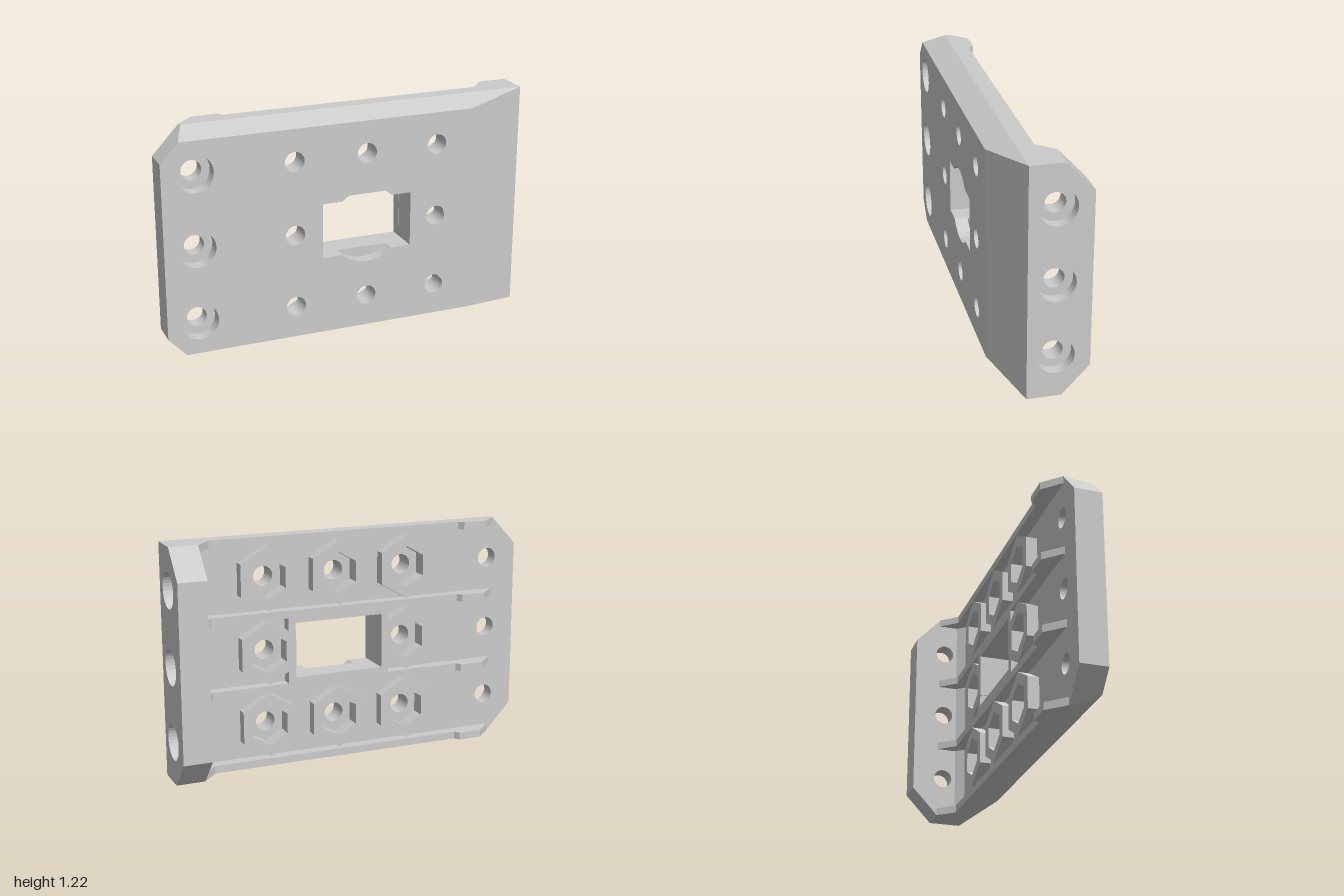
import * as THREE from 'three';

const H = 1.22;                       // overall height
const ROWS = [0.22, 0.61, 1.0];       // hole rows
const COLS = [-0.32, 0.07, 0.46];     // nut columns
const FRONT = 0.215, BEVEL = 0.095, FLOOR = 0.07, RIB_TOP = 0.01, LEDGE = 0.145;
const WIN = { x0: -0.172, x1: 0.315, y0: 0.465, y1: 0.757, cx: 0.0715, cy: 0.611 };

const pts = (list) => list.map(([x, y]) => new THREE.Vector2(x, y));

// Regular polygon; 32 sides for bores, 6 (point up) for nuts
function ngon(x, y, r, n = 32) {
  const out = [];
  for (let i = 0; i < n; i++) {
    const a = Math.PI / 2 + (i / n) * Math.PI * 2;
    out.push(new THREE.Vector2(x + r * Math.cos(a), y + r * Math.sin(a)));
  }
  return out;
}

function extrude(outline, holes, from, to) {
  const shape = new THREE.Shape(outline);
  shape.holes = holes.map((h) => new THREE.Path(h));
  const geo = new THREE.ExtrudeGeometry(shape, { depth: to - from, bevelEnabled: false });
  return geo.translate(0, 0, from);
}

const rect = (x0, y0, x1, y1) => pts([[x0, y0], [x1, y0], [x1, y1], [x0, y1]]);

// Window outline with a round bulge above and below
function bulgedWindow(r) {
  const a = Math.asin((WIN.y1 - WIN.cy) / r);
  const out = [];
  const arc = (start, end) => {
    for (let i = 0; i <= 16; i++) {
      const t = start + ((end - start) * i) / 16;
      out.push(new THREE.Vector2(WIN.cx + r * Math.cos(t), WIN.cy + r * Math.sin(t)));
    }
  };
  out.push(...pts([[WIN.x1, WIN.y0], [WIN.x1, WIN.y1]]));
  arc(a, Math.PI - a);
  out.push(...pts([[WIN.x0, WIN.y1], [WIN.x0, WIN.y0]]));
  arc(Math.PI + a, Math.PI * 2 - a);
  return out;
}

// Slopes the long edges and the flange end inwards towards the front
function bevelFront(geo) {
  const p = geo.attributes.position;
  for (let i = 0; i < p.count; i++) {
    const f = Math.max(0, (p.getZ(i) - BEVEL) / (FRONT - BEVEL));
    const x = p.getX(i), y = p.getY(i);
    if (x > 0.999) p.setX(i, 1 - 0.34 * f);
    else if (y < 0.001 || y > H - 0.001) p.setX(i, x - 0.047 * f);
    if (y < 0.001) p.setY(i, 0.05 * f);
    if (y > H - 0.001) p.setY(i, H - 0.05 * f);
  }
  geo.computeVertexNormals();
  return geo;
}

export function createModel() {
  const group = new THREE.Group();
  const material = new THREE.MeshStandardMaterial({ color: 0xcccccc, flatShading: true });
  const add = (name, geo) => {
    const mesh = new THREE.Mesh(geo, material);
    mesh.name = name;
    group.add(mesh);
  };

  // Main plate in three layers: nut pockets, plain bores, counterbores
  const outline = pts([[-0.86, 0], [1, 0], [1, H], [-0.86, H], [-1, H - 0.15], [-1, 0.15]]);
  const nuts = [];
  for (const x of COLS) for (const y of ROWS) if (x !== 0.07 || y !== 0.61) nuts.push([x, y]);
  const window_ = rect(WIN.x0, WIN.y0, WIN.x1, WIN.y1);
  const bores = nuts.map(([x, y]) => ngon(x, y, 0.052));
  const pockets = nuts.map(([x, y]) => ngon(x, y, 0.108, 6));
  const endHoles = (r) => ROWS.map((y) => ngon(-0.83, y, r));
  add('plateBack', extrude(outline, [window_, ...pockets, ...endHoles(0.052)], FLOOR, BEVEL));
  add('plateMiddle', bevelFront(extrude(outline, [window_, ...bores, ...endHoles(0.052)], BEVEL, LEDGE)));
  add('plateFront', bevelFront(extrude(outline, [bulgedWindow(0.2), ...bores, ...endHoles(0.095)], LEDGE, FRONT)));

  // Hexagonal nut bosses on the back
  for (const [x, y] of nuts) {
    add('nutBoss', extrude(ngon(x, y, 0.17, 6), [ngon(x, y, 0.108, 6)], RIB_TOP, FLOOR));
  }

  // Raised frame around the window
  add('windowFrame', extrude(rect(WIN.x0 - 0.04, 0.43, WIN.x1 + 0.04, 0.79), [window_], RIB_TOP, FLOOR));

  // Lengthwise ribs, profile in x and -z
  const ribProfile = pts([[-0.86, -FLOOR], [0.85, -FLOOR], [0.85, 0.08], [0.77, -RIB_TOP],
    [-0.62, -RIB_TOP], [-0.64, 0.02], [-0.77, 0.02]]);
  for (const y of [0, 0.395, 0.785, H - 0.04]) {
    add('rib', extrude(ribProfile, [], y, y + 0.04).rotateX(-Math.PI / 2));
  }

  // Side flange, profile in -z and y, counterbored from outside
  const flange = pts([[-FLOOR, 0], [0.078, 0], [0.218, 0.15], [0.218, H - 0.15], [0.078, H], [-FLOOR, H]]);
  const flangeHoles = (r) => ROWS.map((y) => ngon(0.047, y, r));
  add('flangeInner', extrude(flange, flangeHoles(0.051), 0.85, 0.94).rotateY(Math.PI / 2));
  add('flangeOuter', extrude(flange, flangeHoles(0.093), 0.94, 1).rotateY(Math.PI / 2));

  // Sloped strip where the flange meets the plate
  const strip = pts([[0.81, -FLOOR], [0.85, -FLOOR], [0.85, -0.025]]);
  add('flangeFillet', extrude(strip, [], 0.02, H - 0.02).rotateX(-Math.PI / 2));

  return group;
}
